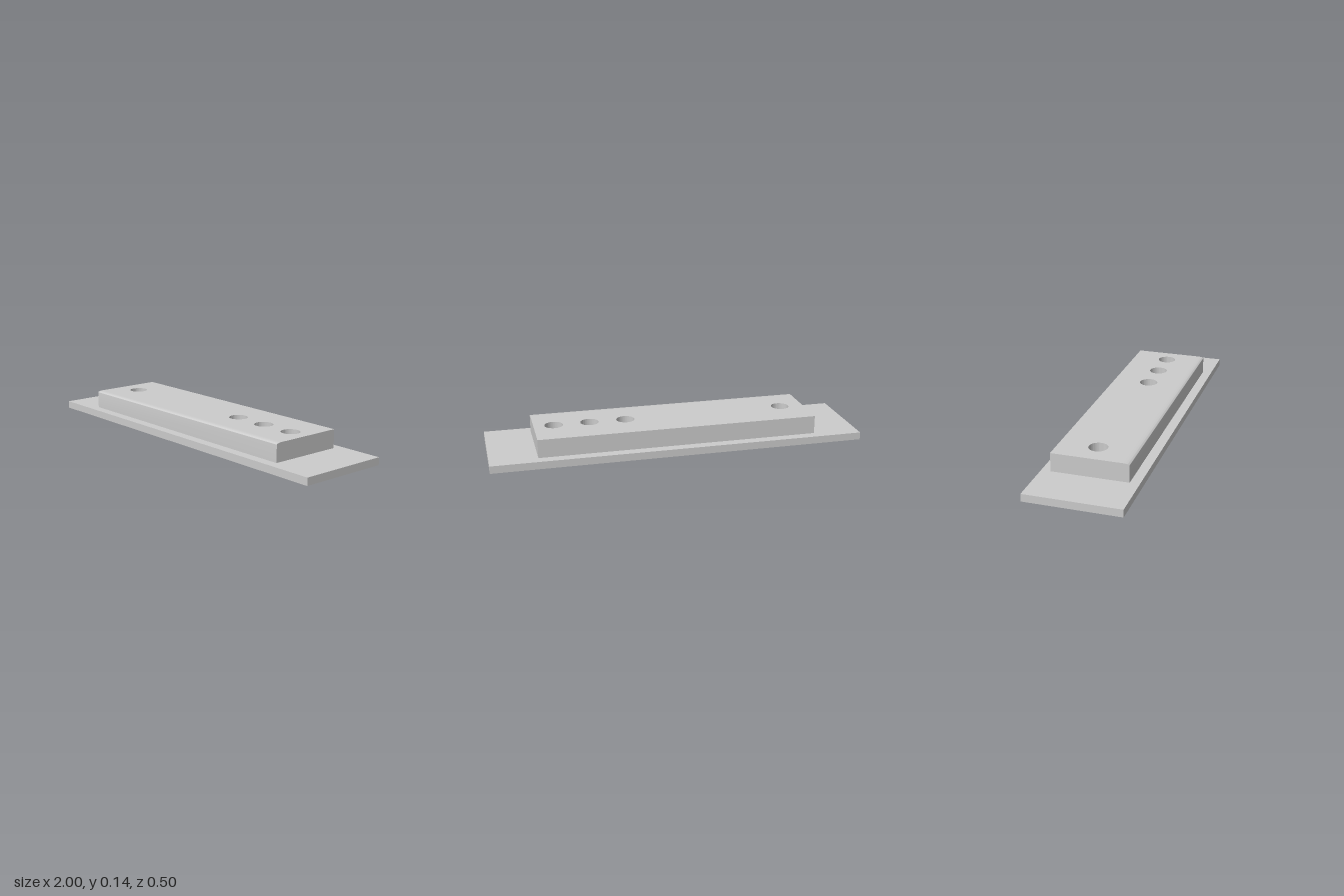
import * as THREE from 'three';
import { toCreasedNormals } from 'three/addons/utils/BufferGeometryUtils.js';

const material = (color = 0xcccccc) => new THREE.MeshStandardMaterial({ color });

function addPart(group, name, geometry, color) {
  const mesh = new THREE.Mesh(geometry, material(color));
  mesh.name = name;
  group.add(mesh);
  return mesh;
}

export function createModel() {
  const model = new THREE.Group();
  model.name = 'indicatorPanel';

  const baseTop = 0.04, top = 0.139, gap = 0.001;
  const halfLength = 0.75, halfDepth = 0.2, roundStart = 0.17;
  const holeRadius = 0.049;
  const lights = [
    { name: 'purpleLight', x: -0.62, color: 0x7a0fc4 },
    { name: 'cyanLight', x: 0.258, z: -0.003, color: 0x20c8c8 },
    { name: 'redLight', x: 0.452, color: 0xe02424 },
    { name: 'blueLight', x: 0.643, discX: 0.64, color: 0x2020c8 },
  ];

  // Flat base plate
  addPart(model, 'basePlate', new THREE.BoxGeometry(2, baseTop, 0.5)).position.y = baseTop / 2;

  // Thin board sandwiched between base and housing
  addPart(model, 'lightBoard', new THREE.BoxGeometry(1.35, 0.004, 0.264)).position.set(0.008, baseTop, 0);

  // Housing with a through hole over each light (plan shape, pushed upwards)
  const plan = new THREE.Shape([
    new THREE.Vector2(-halfLength, -roundStart),
    new THREE.Vector2(halfLength, -roundStart),
    new THREE.Vector2(halfLength, halfDepth),
    new THREE.Vector2(-halfLength, halfDepth),
  ]);
  for (const { x, z = 0 } of lights) {
    plan.holes.push(new THREE.Path().absarc(x, -z, holeRadius, 0, Math.PI * 2, true));
  }
  const bottom = baseTop + gap;
  const housing = new THREE.ExtrudeGeometry(plan, {
    depth: top - bottom, bevelEnabled: false, curveSegments: 32,
  });
  housing.rotateX(-Math.PI / 2).translate(0, bottom, 0);
  addPart(model, 'housing', toCreasedNormals(housing, 0.6));

  // Front strip of the housing with its softened upper edge
  const drop = 0.008;
  const profile = new THREE.Shape();
  profile.moveTo(roundStart, bottom);
  profile.lineTo(halfDepth, bottom);
  profile.lineTo(halfDepth, top - drop);
  profile.absellipse(roundStart, top - drop, halfDepth - roundStart, drop, 0, Math.PI / 2, false, 0);
  profile.lineTo(roundStart, bottom);
  const strip = new THREE.ExtrudeGeometry(profile, {
    depth: halfLength * 2, bevelEnabled: false, curveSegments: 10,
  });
  strip.rotateY(-Math.PI / 2).translate(halfLength, 0, 0);
  addPart(model, 'housingFront', toCreasedNormals(strip, 0.6));

  // Coloured light discs at the bottom of the holes
  for (const { name, x, discX = x, z = 0, color } of lights) {
    const disc = new THREE.CylinderGeometry(0.048, 0.048, 0.006, 32);
    addPart(model, name, disc, color).position.set(discX, 0.044, z);
  }

  return model;
}
